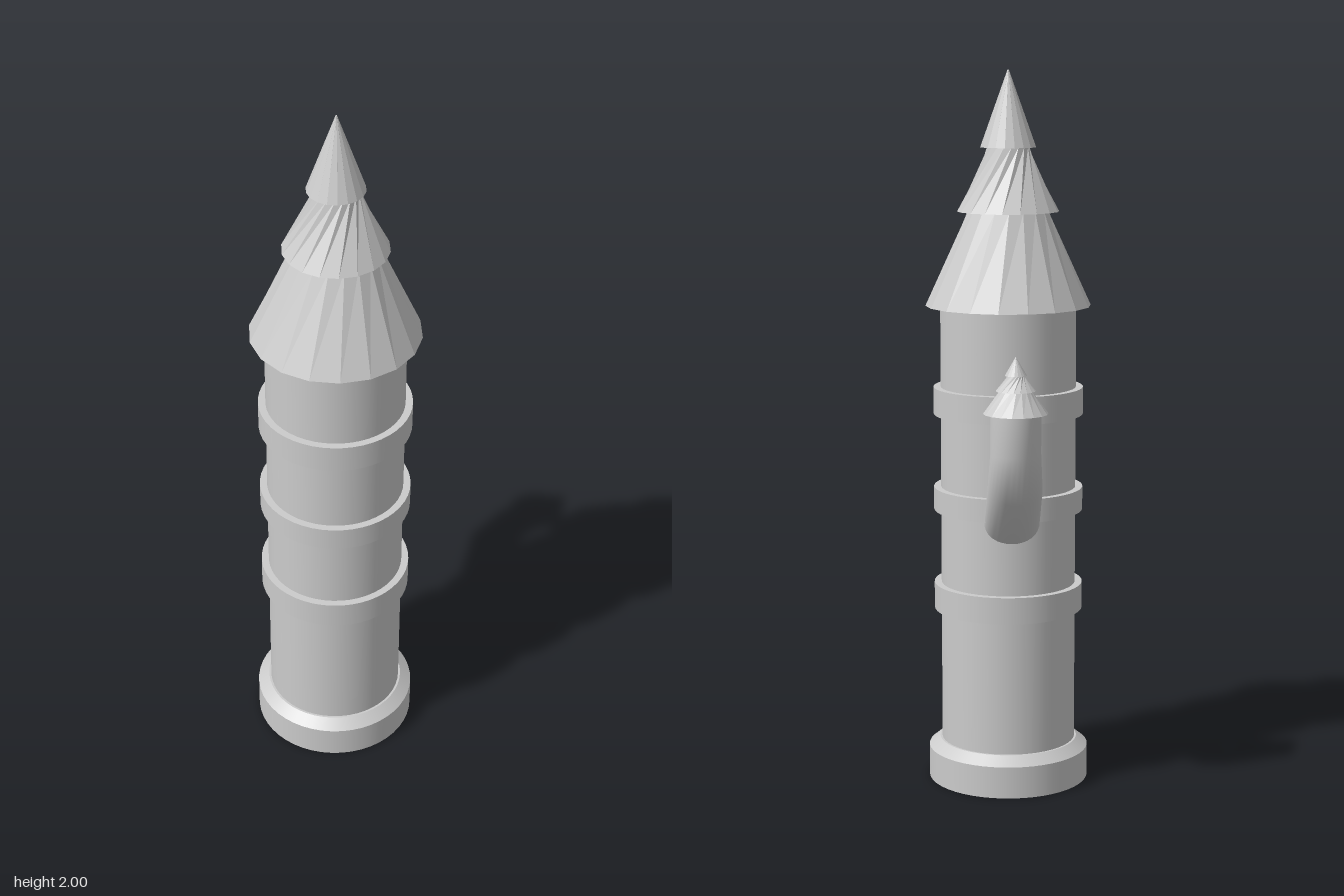
import * as THREE from 'three';
import { mergeVertices } from 'three/addons/utils/BufferGeometryUtils.js';

const smooth = new THREE.MeshStandardMaterial({ color: 0xcccccc });
const faceted = new THREE.MeshStandardMaterial({ color: 0xcccccc, flatShading: true });

function add(parent, name, geometry, material = smooth) {
  const mesh = new THREE.Mesh(geometry, material);
  mesh.name = name;
  parent.add(mesh);
  return mesh;
}

// Upright drum between two heights
function drum(parent, name, y0, y1, rBottom, rTop = rBottom) {
  const mesh = add(parent, name, new THREE.CylinderGeometry(rTop, rBottom, y1 - y0, 48));
  mesh.position.y = (y0 + y1) / 2;
}

// Eighteen-sided cone section whose top ring is twisted against its bottom ring
function twistedTier(y0, y1, rBottom, rTop, twist) {
  const h = y1 - y0;
  const g = new THREE.CylinderGeometry(rTop, rBottom, h, 18, 1, false, Math.PI / 2);
  const p = g.attributes.position;
  const v = new THREE.Vector3(), up = new THREE.Vector3(0, 1, 0);
  for (let i = 0; i < p.count; i++) {
    v.fromBufferAttribute(p, i);
    v.applyAxisAngle(up, THREE.MathUtils.degToRad(twist) * (v.y / h + 0.5));
    p.setXYZ(i, v.x, v.y, v.z);
  }
  g.translate(0, (y0 + y1) / 2, 0);
  g.computeVertexNormals();
  return g;
}

// Three stacked roof tiers, eaves at y = 0
function roof(name) {
  const group = new THREE.Group();
  group.name = name;
  add(group, 'lowerRoof', twistedTier(0, 0.262, 0.23, 0.112, 8), faceted);
  add(group, 'middleRoof', twistedTier(0.26, 0.437, 0.141, 0.058, 36), faceted);
  add(group, 'spire', twistedTier(0.435, 0.645, 0.077, 0.002, 20), faceted);
  return group;
}

// Bent turret stem: each ring is [inner z, inner y, outer z, outer y, half width], top first
function turretStem() {
  const rings = [
    [-0.168, 1.11, -0.304, 1.11, 0.068],
    [-0.168, 0.995, -0.304, 0.995, 0.068],
    [-0.153, 0.925, -0.27, 0.862, 0.074],
    [-0.06, 0.835, -0.06, 0.69, 0.077],
  ];
  const sides = 32;
  const g = new THREE.CylinderGeometry(1, 1, 1, sides, rings.length - 1, true);
  const p = g.attributes.position;
  for (let i = 0; i < p.count; i++) {
    const [iz, iy, oz, oy, w] = rings[Math.floor(i / (sides + 1))];
    const t = (1 + p.getZ(i)) / 2;
    p.setXYZ(i, p.getX(i) * w, oy + (iy - oy) * t, oz + (iz - oz) * t);
  }
  g.deleteAttribute('normal');
  g.deleteAttribute('uv');
  const welded = mergeVertices(g, 1e-5);
  welded.computeVertexNormals();
  return welded;
}

export function createModel() {
  const model = new THREE.Group();
  model.name = 'tower';

  // Main tower
  const main = new THREE.Group();
  main.name = 'mainTower';
  main.position.z = 0.095;
  model.add(main);
  drum(main, 'shaft', 0.05, 1.37, 0.189);
  drum(main, 'plinth', 0, 0.09, 0.226);
  drum(main, 'plinthBevel', 0.09, 0.115, 0.226, 0.195);
  for (const [y0, y1] of [[0.495, 0.57], [0.78, 0.845], [1.052, 1.128]]) {
    drum(main, 'band', y0, y1, 0.209);
  }
  const mainRoof = roof('mainRoof');
  mainRoof.position.y = 1.355;
  main.add(mainRoof);

  // Small turret growing from the back
  const turret = new THREE.Group();
  turret.name = 'turret';
  model.add(turret);
  add(turret, 'turretStem', turretStem());
  const turretRoof = roof('turretRoof');
  turretRoof.position.set(0, 1.105, -0.237);
  turretRoof.scale.set(0.378, 0.233, 0.378);
  turret.add(turretRoof);

  return model;
}
